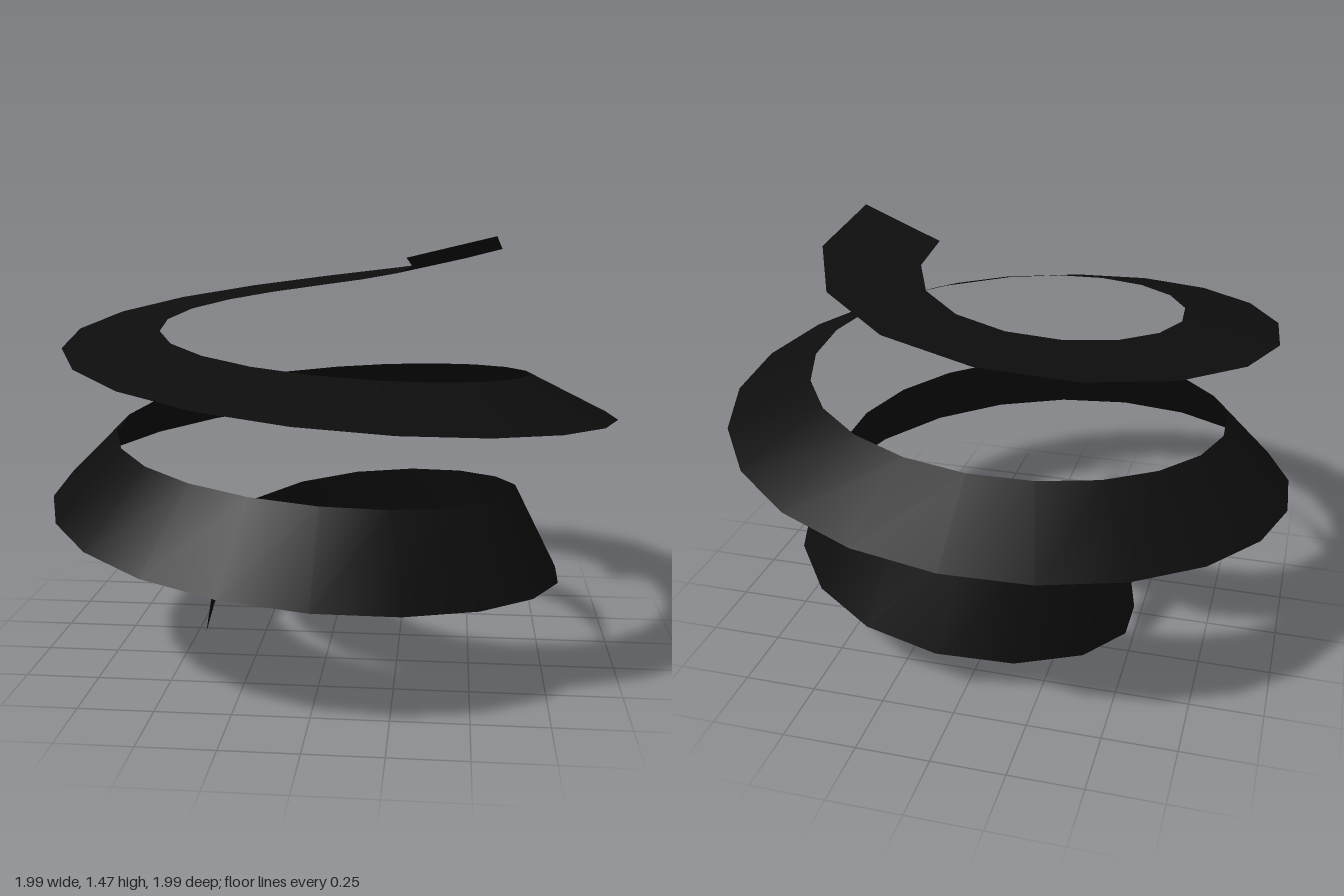
import * as THREE from 'three';

const SEGMENTS = 48;
const WIDTH = 0.335;
const START = -0.055, END = 10.12; // in quarter turns

// Lower/outer rim: radius and height at every quarter turn from -1 to 11
const RADII = [0.35, 0.48, 0.66, 0.81, 0.95, 1.005, 1, 1, 0.995, 0.92, 0.77, 0.597, 0.42];
const HEIGHTS = [-0.13, 0.008, 0.155, 0.282, 0.42, 0.56, 0.7, 0.84, 0.98, 1.125, 1.275, 1.447, 1.63];
const rim = new THREE.CatmullRomCurve3(
  RADII.map((r, i) => new THREE.Vector3(r, HEIGHTS[i], 0)), false, 'catmullrom', 0.5);

function rimPoint(n) {
  const p = rim.getPoint((n + 1) / 12);
  const a = n * Math.PI / 2;
  return new THREE.Vector3(-p.x * Math.cos(a), p.y, -p.x * Math.sin(a));
}

// Direction across the ribbon: turns from upright to lying inward, square to the path
function across(n) {
  const a = n * Math.PI / 2;
  const tilt = THREE.MathUtils.degToRad(8 + 9.3 * n);
  const d = new THREE.Vector3(
    Math.cos(a) * Math.sin(tilt), Math.cos(tilt), Math.sin(a) * Math.sin(tilt));
  const tangent = rimPoint(n + 0.01).sub(rimPoint(n - 0.01)).normalize();
  return d.addScaledVector(tangent, -d.dot(tangent)).normalize();
}

// Middle line of the ribbon, used to space the sections evenly
class MiddleLine extends THREE.Curve {
  getPoint(t) {
    const n = START + (END - START) * t;
    return rimPoint(n).addScaledVector(across(n), WIDTH / 2);
  }
}

export function createModel() {
  const group = new THREE.Group();
  group.name = 'spiralRibbon';

  const black = new THREE.MeshStandardMaterial({ color: 0x0d0d0d, side: THREE.DoubleSide });
  black.name = 'black';

  const middle = new MiddleLine();
  middle.arcLengthDivisions = 600;
  const positions = [], indices = [];
  for (let i = 0; i <= SEGMENTS; i++) {
    const n = START + (END - START) * middle.getUtoTmapping(i / SEGMENTS);
    const outer = rimPoint(n);
    const inner = outer.clone().addScaledVector(across(n), i === 0 ? 0.3 : WIDTH);
    positions.push(...outer.toArray(), ...inner.toArray());
    if (i < SEGMENTS) {
      const k = i * 2;
      indices.push(k, k + 1, k + 2, k + 1, k + 3, k + 2);
    }
  }
  const geometry = new THREE.BufferGeometry();
  geometry.setAttribute('position', new THREE.Float32BufferAttribute(positions, 3));
  geometry.setIndex(indices);
  geometry.computeVertexNormals();

  const ribbon = new THREE.Mesh(geometry, black);
  ribbon.name = 'ribbon';
  group.add(ribbon);
  return group;
}
